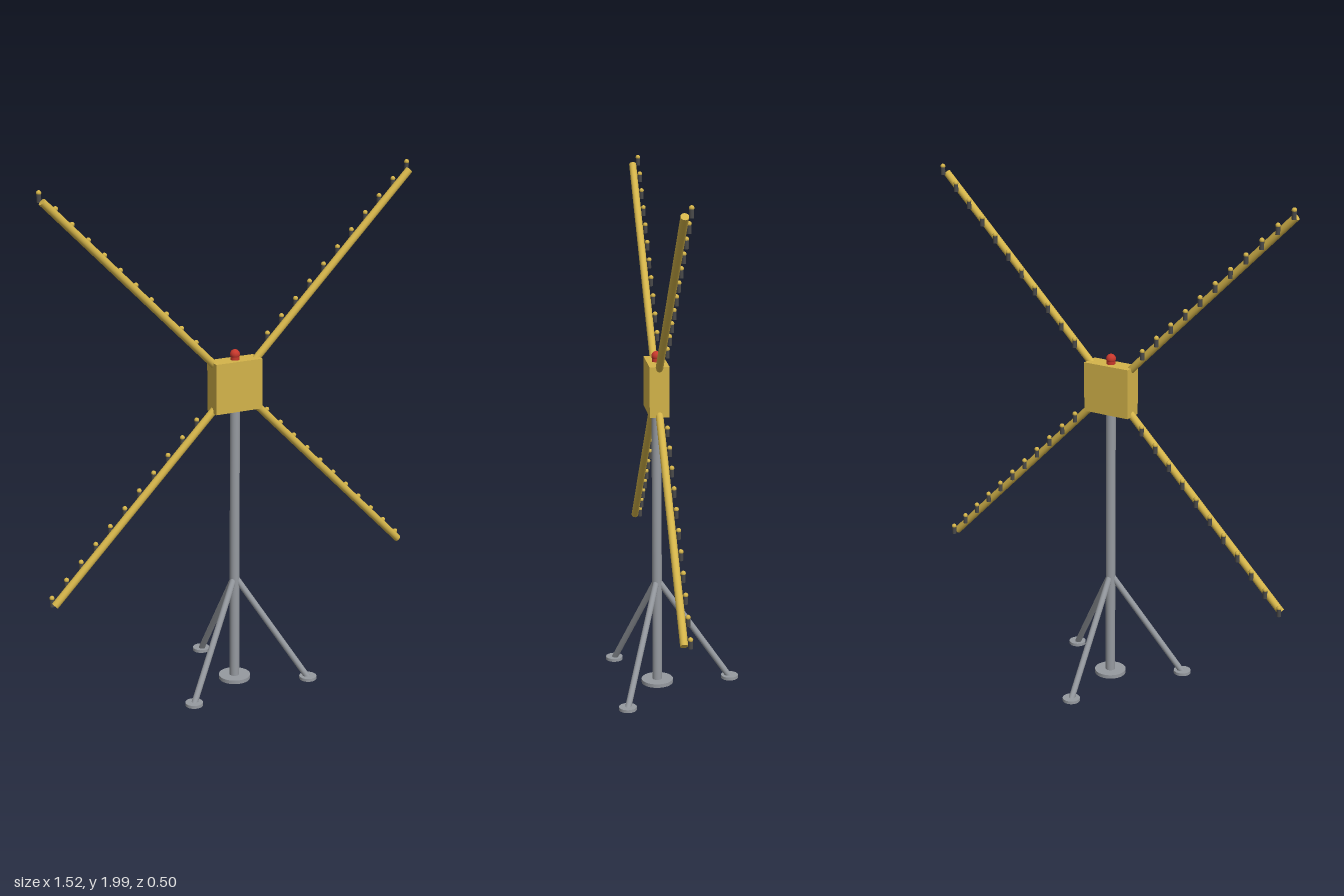
import * as THREE from 'three';

const mat = (color) => new THREE.MeshStandardMaterial({ color });
const STEEL = mat(0x969aa0), YELLOW = mat(0xd4b44a), DARK = mat(0x4a4a4a), RED = mat(0xc8382c);
const AXIS_Z = 0.07, HUB_Y = 1.2125;

function add(parent, name, geometry, material, x, y, z) {
  const mesh = new THREE.Mesh(geometry, material);
  mesh.name = name;
  mesh.position.set(x, y, z);
  parent.add(mesh);
  return mesh;
}

// Round bar between two points
function bar(parent, name, a, b, radius, material) {
  const dir = b.clone().sub(a);
  const mid = a.clone().add(b).multiplyScalar(0.5);
  const mesh = add(parent, name, new THREE.CylinderGeometry(radius, radius, dir.length(), 16), material, mid.x, mid.y, mid.z);
  mesh.quaternion.setFromUnitVectors(new THREE.Vector3(0, 1, 0), dir.normalize());
  return mesh;
}

export function createModel() {
  const model = new THREE.Group();
  model.name = 'signalStand';

  // Mast and its base plate
  add(model, 'mast', new THREE.CylinderGeometry(0.019, 0.019, 1.12, 24), STEEL, 0, 0.57, AXIS_Z);
  add(model, 'basePlate', new THREE.CylinderGeometry(0.062, 0.062, 0.015, 32), STEEL, 0, 0.0145, AXIS_Z);

  // Tripod legs with round feet
  for (let i = 0; i < 3; i++) {
    const angle = Math.PI + (i * Math.PI * 2) / 3;
    const x = 0.29 * Math.sin(angle), z = AXIS_Z + 0.29 * Math.cos(angle);
    bar(model, 'tripodLeg', new THREE.Vector3(0, 0.44, AXIS_Z), new THREE.Vector3(x, 0.013, z), 0.012, STEEL);
    add(model, 'foot', new THREE.CylinderGeometry(0.034, 0.034, 0.012, 24), STEEL, x, 0.015, z);
  }

  // Hub box with a beacon on top
  add(model, 'hubBox', new THREE.BoxGeometry(0.194, 0.194, 0.075), YELLOW, 0, HUB_Y, AXIS_Z);
  add(model, 'beaconBase', new THREE.CylinderGeometry(0.017, 0.017, 0.02, 20), RED, 0, 1.318, AXIS_Z);
  add(model, 'beacon', new THREE.SphereGeometry(0.019, 20, 14), RED, 0, 1.33, AXIS_Z);

  // Four diagonal arms, each carrying a row of upright lamps behind it
  const socket = new THREE.CylinderGeometry(0.0085, 0.0085, 0.03, 12);
  const bulb = new THREE.SphereGeometry(0.0095, 12, 8);
  for (const sx of [-1, 1]) {
    for (const sy of [-1, 1]) {
      const arm = new THREE.Group();
      arm.name = (sy > 0 ? 'upper' : 'lower') + (sx > 0 ? 'Left' : 'Right') + 'Arm';
      model.add(arm);
      bar(arm, 'armBar',
        new THREE.Vector3(sx * 0.085, HUB_Y + sy * 0.085, AXIS_Z),
        new THREE.Vector3(sx * 0.75, HUB_Y + sy * 0.75, AXIS_Z), 0.0145, YELLOW);
      for (let i = 0; i < 11; i++) {
        const d = 0.15 + i * 0.0602;
        const x = sx * d, y = HUB_Y + sy * d;
        add(arm, 'lampSocket', socket, DARK, x, y + 0.008, 0.048);
        add(arm, 'lampBulb', bulb, YELLOW, x, y + 0.026, 0.048);
      }
    }
  }
  return model;
}
